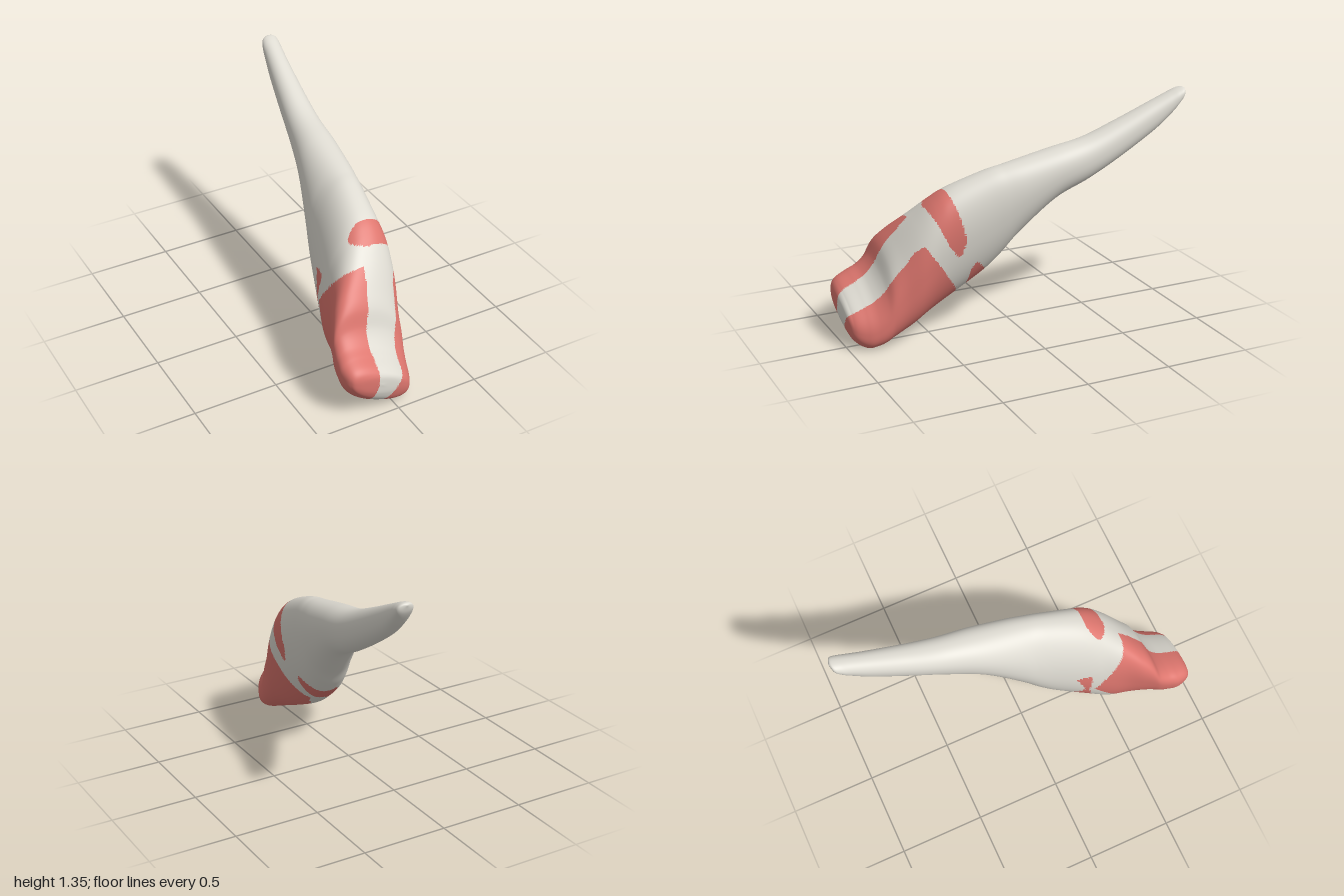
import * as THREE from 'three';

// Cross-sections from biting edge to root tip: z, bottom y, top y, min x, max x
const SECTIONS = [
  [1.0, 0.195, 0.205, -0.115, -0.105],
  [0.993, 0.12, 0.27, -0.25, 0.02],
  [0.965, 0.05, 0.31, -0.295, 0.085],
  [0.9, 0.005, 0.345, -0.315, 0.125],
  [0.84, 0.01, 0.38, -0.308, 0.145],
  [0.79, 0.022, 0.44, -0.297, 0.158],
  [0.75, 0.035, 0.54, -0.283, 0.167],
  [0.69, 0.055, 0.62, -0.26, 0.18],
  [0.6, 0.085, 0.72, -0.225, 0.207],
  [0.5, 0.125, 0.82, -0.197, 0.22],
  [0.4, 0.185, 0.885, -0.165, 0.228],
  [0.2, 0.325, 0.962, -0.1, 0.25],
  [0.1, 0.425, 0.987, -0.068, 0.263],
  [0.0, 0.55, 1.01, -0.035, 0.275],
  [-0.2, 0.745, 1.055, 0.03, 0.29],
  [-0.4, 0.85, 1.1, 0.085, 0.295],
  [-0.6, 0.965, 1.18, 0.125, 0.3],
  [-0.8, 1.095, 1.27, 0.165, 0.306],
  [-0.9, 1.18, 1.315, 0.187, 0.31],
  [-0.95, 1.235, 1.335, 0.198, 0.311],
  [-0.985, 1.285, 1.342, 0.215, 0.303],
  [-1.0, 1.328, 1.334, 0.255, 0.262],
];
const ROWS = 264, SIDES = 176;

const { smoothstep, clamp } = THREE.MathUtils;

// Piecewise linear lookup through [input, output] pairs
function lookup(pairs, v) {
  if (v <= pairs[0][0]) return pairs[0][1];
  for (let i = 1; i < pairs.length; i++) {
    const [a, fa] = pairs[i - 1], [b, fb] = pairs[i];
    if (v <= b) return fa + ((fb - fa) * (v - a)) / (b - a);
  }
  return pairs[pairs.length - 1][1];
}

// Inner edges of the two side bands, as x against y
const LEFT_EDGE = [[0, -0.09], [0.04, -0.09], [0.08, -0.06], [0.16, 0], [0.21, 0.04],
  [0.28, 0.07], [0.4, 0.12], [0.5, 0.15], [0.56, 0.165], [0.6, 0.2]];
const RIGHT_EDGE = [[0.05, -0.18], [0.09, -0.165], [0.2, -0.13], [0.3, -0.12],
  [0.4, -0.1], [0.5, -0.07], [0.62, -0.03], [0.71, -0.01]];

const inLeftBand = (x, y, z) =>
  y < 0.597 && x > lookup(LEFT_EDGE, y) && z > 0.34 + 0.7 * (y - 0.235);

const inRightBand = (x, y, z) =>
  y < 0.71 && x < lookup(RIGHT_EDGE, y) && z > 0.4 + (y > 0.4 ? 0.7 * (y - 0.4) : 0.8 * (0.4 - y));

// Crescent over the crown, tapered at both ends
function inCrescent(x, y, z) {
  if (x < -0.03 || y < 0.508) return false;
  const front = 0.43 + 0.46 * (y - 0.53), back = 0.355 + 0.3 * Math.max(0, y - 0.62);
  const taper = Math.sqrt(clamp((x + 0.03) / 0.08, 0, 1) * clamp((y - 0.508) / 0.07, 0, 1));
  return Math.abs(z - (front + back) / 2) < ((front - back) / 2) * taper;
}

// Slanting oval on the underside
function inUndersideOval(x, y, z) {
  const t = (x - 0.01) / 0.17;
  if (Math.abs(t) > 1 || y > 0.56) return false;
  const middle = 0.21 + (x < 0 ? -1.05 * x : 0.35 * x);
  return Math.abs(z - middle) < 0.07 * Math.sqrt(1 - t * t);
}

const isPainted = (x, y, z) =>
  inLeftBand(x, y, z) || inRightBand(x, y, z) || inCrescent(x, y, z) || inUndersideOval(x, y, z);

function buildToothGeometry() {
  const heights = new THREE.CatmullRomCurve3(
    SECTIONS.map(([z, b, t]) => new THREE.Vector3(z, b, t)), false, 'catmullrom', 0.5);
  const widths = new THREE.CatmullRomCurve3(
    SECTIONS.map(([z, , , l, r]) => new THREE.Vector3(z, l, r)), false, 'catmullrom', 0.5);

  // Rounded sections, tilted at the biting edge and leaning along the root
  const positions = [];
  for (let i = 0; i <= ROWS; i++) {
    const { x: z, y: bottom, z: top } = heights.getPoint(i / ROWS);
    const { y: left, z: right } = widths.getPoint(i / ROWS);
    const cx = (left + right) / 2, cy = (bottom + top) / 2;
    const a = (right - left) / 2, h = (top - bottom) / 2;
    const tilt = Math.min(0.4 * smoothstep(z, 0.5, 0.88), (0.6 * h) / a);
    const lean = 0.2 * smoothstep(z, -0.6, 0.1) * (1 - smoothstep(z, 0.45, 0.75));
    const halfW = Math.sqrt(a * a - (lean * h) ** 2);
    const halfH = Math.sqrt(h * h - (tilt * a) ** 2);
    const power = 2 / (2.15 + 0.25 * smoothstep(z, 0.2, 0.8));
    for (let j = 0; j < SIDES; j++) {
      const angle = (j / SIDES) * Math.PI * 2;
      const c = Math.cos(angle), s = Math.sin(angle);
      const dx = halfW * Math.sign(c) * Math.abs(c) ** power;
      const dy = halfH * Math.sign(s) * Math.abs(s) ** power;
      positions.push(cx + dx + lean * dy, cy + dy - tilt * dx, z);
    }
  }

  // Sort the faces into plain and painted groups
  const plain = [], painted = [];
  const addFace = (...corners) => {
    const mid = [0, 1, 2].map((k) => corners.reduce((sum, v) => sum + positions[v * 3 + k], 0) / 3);
    (isPainted(...mid) ? painted : plain).push(...corners);
  };
  for (let i = 0; i < ROWS; i++) {
    for (let j = 0; j < SIDES; j++) {
      const k = (j + 1) % SIDES;
      const a = i * SIDES + j, b = a + SIDES, c = i * SIDES + k, d = c + SIDES;
      addFace(a, b, c);
      addFace(b, d, c);
    }
  }
  // Close the two small ends
  const last = ROWS * SIDES;
  for (let j = 1; j < SIDES - 1; j++) {
    addFace(0, j, j + 1);
    addFace(last, last + j + 1, last + j);
  }

  const geometry = new THREE.BufferGeometry();
  geometry.setAttribute('position', new THREE.Float32BufferAttribute(positions, 3));
  geometry.setIndex([...plain, ...painted]);
  geometry.addGroup(0, plain.length, 0);
  geometry.addGroup(plain.length, painted.length, 1);
  geometry.computeVertexNormals();
  return geometry;
}

export function createModel() {
  const ivory = new THREE.MeshStandardMaterial({ color: 0xdedbd2 });
  ivory.name = 'ivory';
  const coral = new THREE.MeshStandardMaterial({ color: 0xdd766e });
  coral.name = 'coral';

  const tooth = new THREE.Mesh(buildToothGeometry(), [ivory, coral]);
  tooth.name = 'tooth';

  const model = new THREE.Group();
  model.name = 'incisorTooth';
  model.add(tooth);
  return model;
}
